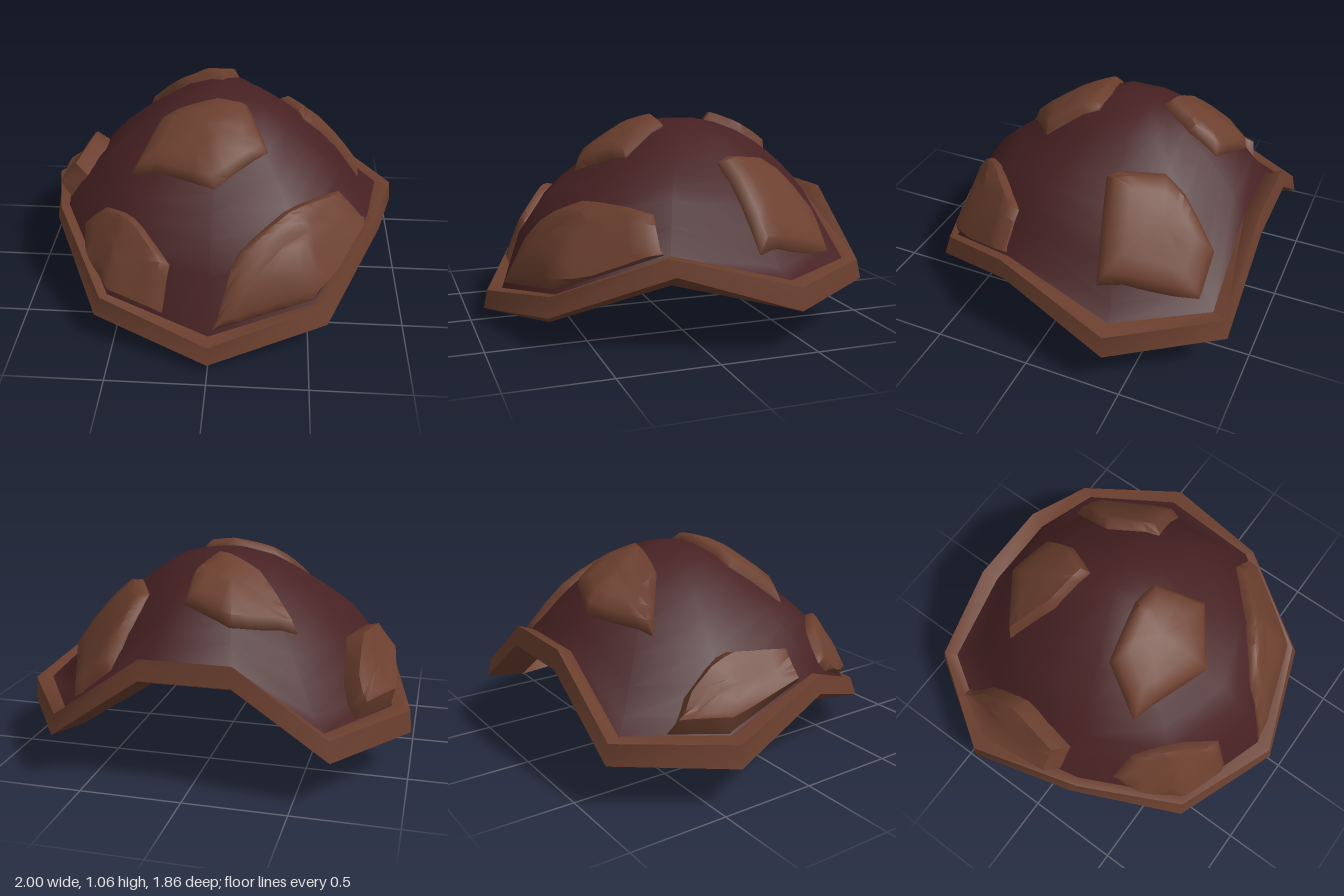
import * as THREE from 'three';
import { toCreasedNormals } from 'three/addons/utils/BufferGeometryUtils.js';

// Rim stations from the front tip round to the back, on the left half.
// Each section: outer bottom, outer top, inner top, inner bottom.
const HALF = [
  [[0, 0.06, 0.93], [0, 0.155, 0.91], [0, 0.16, 0.83], [0, 0, 0.76]],
  [[0.59, 0.165, 0.71], [0.56, 0.26, 0.69], [0.525, 0.26, 0.66], [0.38, 0.075, 0.66]],
  [[0.87, 0.39, 0.17], [0.84, 0.475, 0.2], [0.8, 0.475, 0.175], [0.72, 0.31, 0.14]],
  [[1, 0.21, -0.41], [0.99, 0.325, -0.41], [0.9, 0.335, -0.4], [0.74, 0.19, -0.39]],
  [[0.67, 0.235, -0.92], [0.66, 0.335, -0.9], [0.63, 0.34, -0.83], [0.57, 0.24, -0.76]],
  [[0.22, 0.55, -0.93], [0.22, 0.65, -0.91], [0.2, 0.62, -0.83], [0.2, 0.49, -0.78]],
];
// Dome profile at each station: share of the rise at each distance from the crown
const RADII = [1, 0.9, 0.8, 0.7, 0.6, 0.45, 0.3, 0.15, 0];
const HALF_RISE = [
  [0, 0.34, 0.5, 0.6, 0.67, 0.83, 0.93, 0.985, 1],
  [0, 0.24, 0.43, 0.55, 0.65, 0.8, 0.92, 0.98, 1],
  [0, 0.22, 0.41, 0.53, 0.64, 0.79, 0.92, 0.98, 1],
  [0, 0.06, 0.26, 0.45, 0.6, 0.77, 0.91, 0.98, 1],
  [0, 0.08, 0.24, 0.42, 0.57, 0.75, 0.9, 0.98, 1],
  [0, 0.22, 0.4, 0.55, 0.68, 0.83, 0.93, 0.985, 1],
];
const mirror = (s) => s.map(([x, y, z]) => [-x, y, z]);
const STATIONS = [...HALF, ...HALF.slice(1).reverse().map(mirror)];
const RISE = [...HALF_RISE, ...HALF_RISE.slice(1).reverse()];
const COUNT = STATIONS.length;
const EDGE = STATIONS.map((s) => s[2]);
const CROWN_Y = 1.03, CROWN_Z = -0.15;

function rise(station, r) {
  const f = RISE[station];
  const i = Math.max(1, RADII.findIndex((v) => r >= v));
  return f[i] + ((f[i - 1] - f[i]) * (r - RADII[i])) / (RADII[i - 1] - RADII[i]);
}

// Point of the dome above a plan position, held inside the rim
function onDome(x, z) {
  const pz = z - CROWN_Z;
  for (let i = 0; i < COUNT; i++) {
    const j = (i + 1) % COUNT, a = EDGE[i], b = EDGE[j];
    const az = a[2] - CROWN_Z, bz = b[2] - CROWN_Z;
    const det = a[0] * bz - az * b[0];
    const p = (x * bz - pz * b[0]) / det;
    const q = (a[0] * pz - az * x) / det;
    if (p < -1e-6 || q < -1e-6) continue;
    const r = p + q;
    if (r < 1e-5) break;
    const k = Math.min(1, 0.99 / r);
    const height = (e, s) => e[1] + (CROWN_Y - e[1]) * rise(s, r * k);
    return new THREE.Vector3(x * k, (p * height(a, i) + q * height(b, j)) / r, CROWN_Z + pz * k);
  }
  return new THREE.Vector3(0, CROWN_Y, CROWN_Z);
}

function domeNormal(p) {
  const e = 0.08;
  const dx = onDome(p.x + e, p.z).sub(onDome(p.x - e, p.z));
  const dz = onDome(p.x, p.z + e).sub(onDome(p.x, p.z - e));
  return dz.cross(dx).normalize();
}

function geometryFrom(positions, index) {
  const g = new THREE.BufferGeometry();
  g.setAttribute('position', new THREE.Float32BufferAttribute(positions, 3));
  g.setIndex(index);
  return g;
}

// Closed square-section band
function rimGeometry() {
  const index = [];
  for (let i = 0; i < COUNT; i++) {
    const j = (i + 1) % COUNT;
    for (let k = 0; k < 4; k++) {
      const l = (k + 1) % 4;
      const a = i * 4 + k, b = j * 4 + k, c = j * 4 + l, d = i * 4 + l;
      index.push(a, b, c, a, c, d);
    }
  }
  return toCreasedNormals(geometryFrom(STATIONS.flat(2), index), 0.9);
}

// Smooth shell lofted from the rim to the crown
function domeGeometry() {
  const pos = [], index = [];
  const rings = RADII.length - 1, top = rings * COUNT;
  for (let k = 0; k < rings; k++) {
    EDGE.forEach(([x, y, z], i) => {
      pos.push(x * RADII[k], y + (CROWN_Y - y) * RISE[i][k], CROWN_Z + (z - CROWN_Z) * RADII[k]);
    });
  }
  pos.push(0, CROWN_Y, CROWN_Z);
  for (let k = 0; k < rings; k++) {
    for (let i = 0; i < COUNT; i++) {
      const j = (i + 1) % COUNT;
      const a = k * COUNT + i, b = k * COUNT + j;
      if (k === rings - 1) index.push(a, b, top);
      else index.push(a, b, b + COUNT, a, b + COUNT, a + COUNT);
    }
  }
  const g = geometryFrom(pos, index);
  g.computeVertexNormals();
  return g;
}

// Cushion following the dome: raised inside, nearly flush at its edge,
// with a flat underside showing on the inside of the shell
const STEPS = [0.3, 0.6, 0.85, 1];
function patchGeometry({ lift, outline }) {
  const SEG = 4, RINGS = STEPS.length, loop = [];
  outline.forEach(([x, z], i) => {
    const [x2, z2] = outline[(i + 1) % outline.length];
    for (let s = 0; s < SEG; s++) loop.push([x + ((x2 - x) * s) / SEG, z + ((z2 - z) * s) / SEG]);
  });
  const cx = outline.reduce((t, c) => t + c[0], 0) / outline.length;
  const cz = outline.reduce((t, c) => t + c[1], 0) / outline.length;
  const n = loop.length, side = 1 + RINGS * n;
  const pos = [], index = [];
  for (const [inner, edge] of [[lift, 0.009], [-0.014, -0.014]]) {
    const add = (x, z, offset) => {
      const p = onDome(x, z);
      pos.push(...p.addScaledVector(domeNormal(p), offset).toArray());
    };
    add(cx, cz, inner);
    for (const t of STEPS) {
      for (const [x, z] of loop) add(cx + (x - cx) * t, cz + (z - cz) * t, t < 1 ? inner : edge);
    }
  }
  for (let i = 0; i < n; i++) {
    const j = (i + 1) % n;
    index.push(0, 1 + i, 1 + j, side, side + 1 + j, side + 1 + i);
    for (let k = 0; k < RINGS - 1; k++) {
      const a = 1 + k * n + i, b = 1 + k * n + j;
      index.push(a, a + n, b + n, a, b + n, b);
      index.push(side + a, side + b + n, side + a + n, side + a, side + b, side + b + n);
    }
    const a = 1 + (RINGS - 1) * n + i, b = 1 + (RINGS - 1) * n + j;
    index.push(a, side + a, side + b, a, side + b, b);
  }
  return toCreasedNormals(geometryFrom(pos, index), 1);
}

// Patch outlines in plan [x, z], counterclockwise from above
const PATCHES = {
  frontCrownPatch: { lift: 0.04, outline: [[-0.43, 0.27], [0, 0.42], [0.26, 0.22], [0.14, -0.02], [0, -0.03], [-0.3, 0.03]] },
  backCrownPatch: { lift: 0.05, outline: [[-0.44, -0.52], [-0.23, -0.36], [0, -0.31], [0.08, -0.48], [0.08, -0.63], [-0.16, -0.71]] },
  backLeftPatch: { lift: 0.045, outline: [[0.34, -0.56], [0.32, -0.45], [0.45, -0.2], [0.78, -0.29], [0.61, -0.75], [0.42, -0.75]] },
  frontLeftPatch: { lift: 0.04, outline: [[0.02, 0.83], [0.52, 0.66], [0.76, 0.33], [0.8, 0.21], [0.63, 0.2], [0.42, 0.39], [0.13, 0.64]] },
  frontRightPatch: { lift: 0.04, outline: [[-0.51, 0.67], [-0.24, 0.76], [-0.2, 0.66], [-0.34, 0.53], [-0.55, 0.35], [-0.68, 0.32], [-0.67, 0.44]] },
  backRightPatch: { lift: 0.09, outline: [[-0.89, -0.4], [-0.82, 0.07], [-0.71, 0.07], [-0.65, -0.25], [-0.67, -0.5], [-0.76, -0.65]] },
};

export function createModel() {
  const shell = new THREE.MeshStandardMaterial({ color: 0x472123, side: THREE.DoubleSide });
  shell.name = 'dark maroon';
  const trim = new THREE.MeshStandardMaterial({ color: 0x6b3f2e });
  trim.name = 'leather brown';

  const group = new THREE.Group();
  group.name = 'patchedShell';
  const add = (name, geometry, material) => {
    const mesh = new THREE.Mesh(geometry, material);
    mesh.name = name;
    group.add(mesh);
  };
  add('dome', domeGeometry(), shell);
  add('rim', rimGeometry(), trim);
  for (const [name, patch] of Object.entries(PATCHES)) add(name, patchGeometry(patch), trim);
  return group;
}
